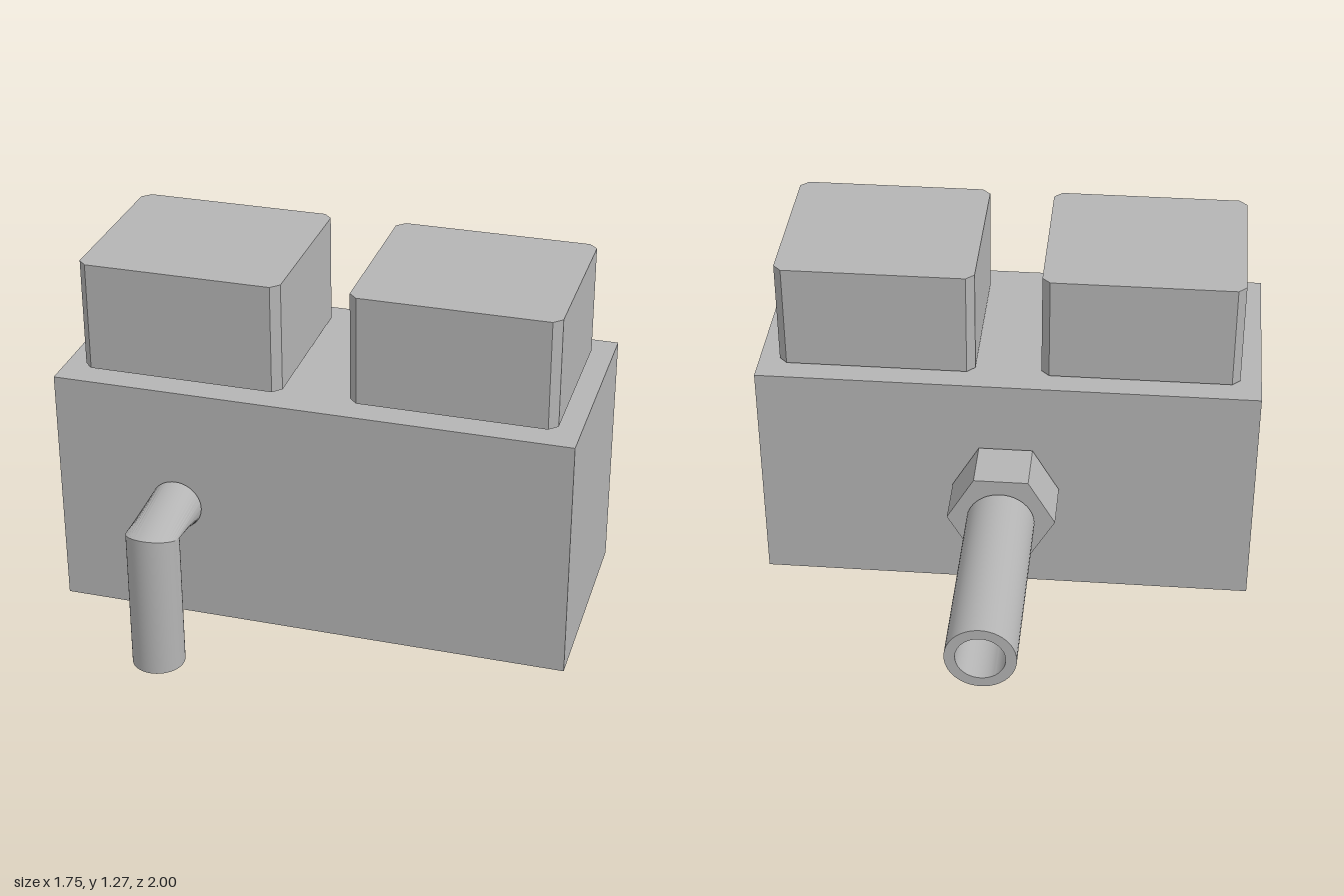
import * as THREE from 'three';
import { toCreasedNormals } from 'three/addons/utils/BufferGeometryUtils.js';

const STEPS = 48;

// Hollow pipe through rings { x, y, z, tilt }; tilt turns the ring about the x axis.
function pipeGeometry(rings, outer, inner) {
  const loops = [
    ...rings.map((ring) => ({ ...ring, r: outer })),
    ...[...rings].reverse().map((ring) => ({ ...ring, r: inner })),
  ];
  const positions = [];
  const index = [];
  loops.forEach(({ x, y, z, tilt, r }, k) => {
    const next = (k + 1) % loops.length;
    for (let i = 0; i < STEPS; i++) {
      const a = (i / STEPS) * Math.PI * 2;
      const v = r * Math.sin(a);
      positions.push(x + r * Math.cos(a), y + v * Math.cos(tilt), z + v * Math.sin(tilt));
      const j = (i + 1) % STEPS;
      const a0 = k * STEPS + i, a1 = k * STEPS + j;
      const b0 = next * STEPS + i, b1 = next * STEPS + j;
      index.push(a0, a1, b0, a1, b1, b0);
    }
  });
  const geometry = new THREE.BufferGeometry();
  geometry.setAttribute('position', new THREE.Float32BufferAttribute(positions, 3));
  geometry.setIndex(index);
  return toCreasedNormals(geometry, 0.25);
}

// Rectangle with cut corners, centred on the origin.
function chamferedRect(w, d, c) {
  const x = w / 2, y = d / 2;
  return new THREE.Shape([
    [x - c, -y], [x, -y + c], [x, y - c], [x - c, y],
    [-x + c, y], [-x, y - c], [-x, -y + c], [-x + c, -y],
  ].map(([px, py]) => new THREE.Vector2(px, py)));
}

export function createModel() {
  const model = new THREE.Group();
  const grey = new THREE.MeshStandardMaterial({ color: 0xb4b4b4 });
  grey.name = 'plain grey';

  function add(name, geometry, x = 0, y = 0, z = 0, parent = model) {
    const mesh = new THREE.Mesh(geometry, grey);
    mesh.name = name;
    mesh.position.set(x, y, z);
    parent.add(mesh);
    return mesh;
  }

  // Main block: a box without its bottom face, closed by a drilled plate
  const W = 1.746, H = 0.84, D = 0.76, bottom = 0.05, midZ = 0.302;
  const body = new THREE.Group();
  body.name = 'body';
  model.add(body);
  const shell = new THREE.BoxGeometry(W, H, D);
  const faces = Array.from(shell.index.array);
  faces.splice(18, 6);
  shell.setIndex(faces);
  shell.clearGroups();
  add('bodyShell', shell, 0, bottom + H / 2, midZ, body);

  // Underside with four blind mounting holes
  const holeR = 0.048, holeDepth = 0.25;
  const underside = chamferedRect(W, D, 0);
  const pocket = toCreasedNormals(new THREE.LatheGeometry([
    new THREE.Vector2(0, holeDepth),
    new THREE.Vector2(holeR, holeDepth),
    new THREE.Vector2(holeR, 0),
  ], 32), 0.5);
  for (const x of [-0.646, 0.646]) {
    for (const z of [-0.226, 0.226]) {
      underside.holes.push(new THREE.Path().absarc(x, z, holeR, 0, Math.PI * 2, true));
      add('mountingHole', pocket, x, bottom, midZ + z, body);
    }
  }
  add('underside', new THREE.ShapeGeometry(underside, 16).rotateX(Math.PI / 2), 0, bottom, midZ, body);

  // Two push blocks with cut vertical corners
  const button = new THREE.ExtrudeGeometry(chamferedRect(0.685, 0.61, 0.028), {
    depth: 0.375, bevelEnabled: false,
  }).rotateX(-Math.PI / 2);
  add('leftButton', button, 0.457, 0.9, 0.3);
  add('rightButton', button, -0.457, 0.9, 0.3);

  // Hexagonal nut and straight inlet pipe at the back
  const axisY = 0.473;
  const nut = new THREE.CylinderGeometry(0.188, 0.188, 0.19, 6, 1, false, Math.PI / 6);
  add('inletNut', toCreasedNormals(nut.rotateX(Math.PI / 2), 0.2), 0, axisY, -0.182);
  add('inletPipe', pipeGeometry([
    { x: 0, y: axisY, z: -0.29, tilt: Math.PI },
    { x: 0, y: axisY, z: -1, tilt: Math.PI },
  ], 0.118, 0.082));

  // Bent outlet spout at the front
  add('spout', pipeGeometry([
    { x: -0.457, y: axisY, z: 0.692, tilt: 0 },
    { x: -0.457, y: 0.485, z: 0.914, tilt: 1.27 },
    { x: -0.457, y: 0, z: 0.912, tilt: Math.PI / 2 },
  ], 0.088, 0.058));

  return model;
}
